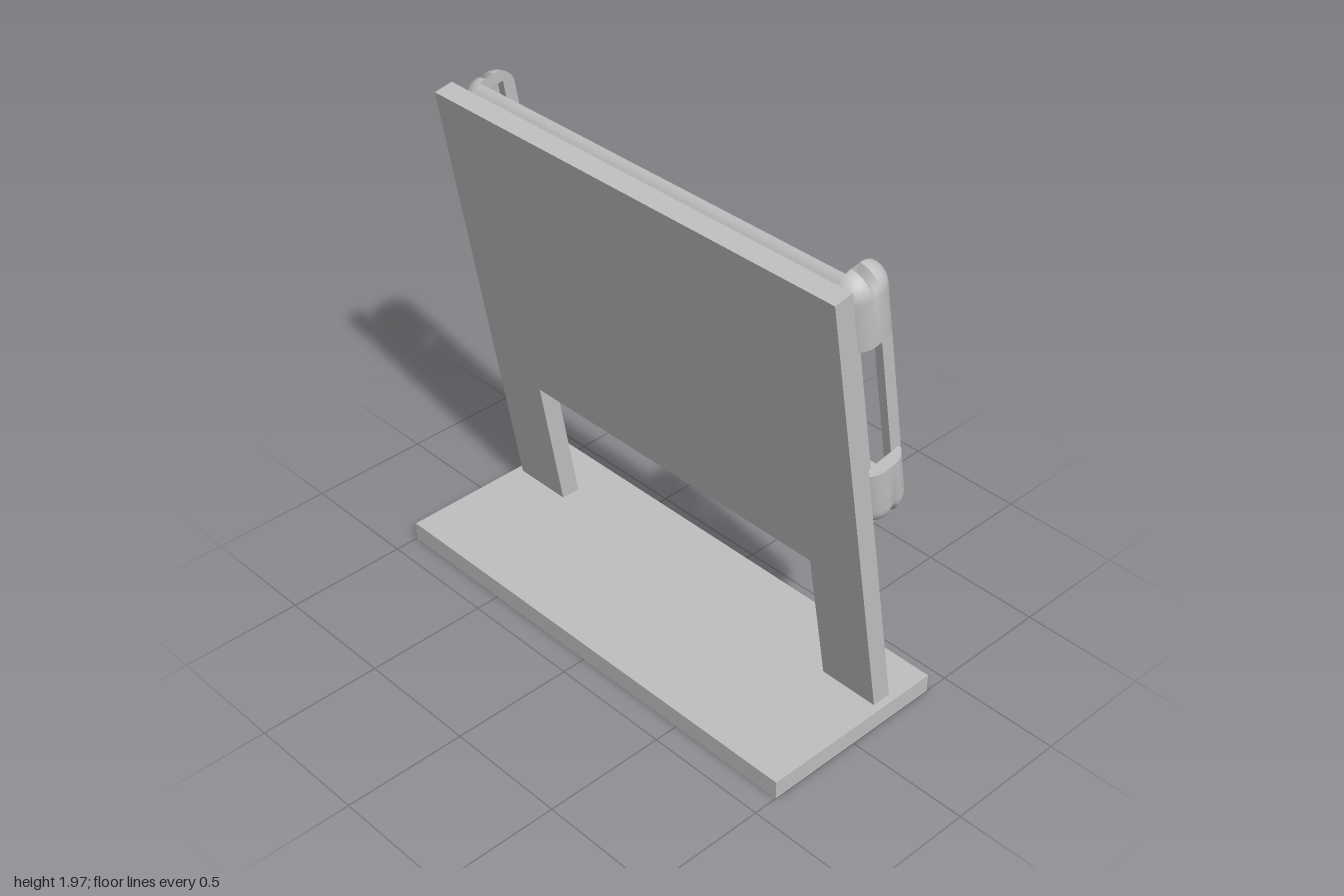
import * as THREE from 'three';
import { toCreasedNormals } from 'three/addons/utils/BufferGeometryUtils.js';

const grey = new THREE.MeshStandardMaterial({ color: 0xc0c0c0 });
grey.name = 'grey';

const R = 0.085;                 // edge radius of the holder
const X = 0.885, LOW = 0.905, HIGH = 1.815; // pivots of its rounded corners

function add(parent, geometry, name) {
  const mesh = new THREE.Mesh(geometry, grey);
  mesh.name = name;
  parent.add(mesh);
  return mesh;
}

// Box given by its limits; w is the distance behind the board
function block(parent, name, x0, x1, y0, y1, w0, w1) {
  const mesh = add(parent, new THREE.BoxGeometry(x1 - x0, y1 - y0, w1 - w0), name);
  mesh.position.set((x0 + x1) / 2, (y0 + y1) / 2, -(w0 + w1) / 2);
}

// C-shaped rim section as (outward, w), with an optional groove in the outer wall
function section(groove) {
  const pts = [], n = 10;
  for (let i = 0; i <= n; i++) {
    const a = (i / n) * Math.PI / 2;
    pts.push(new THREE.Vector2(R * Math.sin(a), R - R * Math.cos(a)));
  }
  pts.push(new THREE.Vector2(R - groove, 0.105));
  for (let i = 0; i <= n; i++) {
    const a = (i / n) * Math.PI / 2;
    pts.push(new THREE.Vector2(R * Math.cos(a), 0.125 + R * Math.sin(a)));
  }
  [[0, 0.16], [0.035, 0.16], [0.035, 0.06], [0, 0.06]].forEach(p => pts.push(new THREE.Vector2(...p)));
  return pts;
}

// Frames turning round a corner pivot
function corner(x, y, from, to, groove) {
  const frames = [];
  for (let i = 0; i <= 12; i++) {
    const a = from + (to - from) * i / 12;
    frames.push({ x, y, a, groove: groove(a * Math.PI / 180) });
  }
  return frames;
}

// Sweep the rim section through frames, with closed ends
function sweep(frames) {
  const pos = [], index = [], n = section(0).length;
  for (const f of frames) {
    const a = f.a * Math.PI / 180;
    for (const p of section(f.groove || 0)) {
      pos.push(f.x + p.x * Math.cos(a), f.y + p.x * Math.sin(a), -p.y);
    }
  }
  for (let k = 0; k < frames.length - 1; k++) {
    for (let i = 0; i < n; i++) {
      const j = (i + 1) % n, a = k * n + i, b = k * n + j;
      index.push(a, b, b + n, a, b + n, a + n);
    }
  }
  const last = (frames.length - 1) * n;
  for (const [a, b, c] of THREE.ShapeUtils.triangulateShape(section(0), [])) {
    index.push(a, c, b, last + a, last + b, last + c);
  }
  const g = new THREE.BufferGeometry();
  g.setAttribute('position', new THREE.Float32BufferAttribute(pos, 3));
  g.setIndex(index);
  return toCreasedNormals(g, 0.6);
}

// Backing slab with a rounded top front edge, extruded along x
function backing(x0, x1, bottom) {
  const s = new THREE.Shape();
  s.moveTo(0, bottom);
  s.lineTo(0.06, bottom);
  for (let i = 8; i >= 0; i--) {
    const w = 0.06 * i / 8;
    s.lineTo(w, HIGH + Math.sqrt(R * R - (R - w) ** 2));
  }
  const g = new THREE.ExtrudeGeometry(s, { depth: x1 - x0, bevelEnabled: false });
  g.rotateY(Math.PI / 2);        // shape x becomes -z, depth becomes +x
  g.translate(x0, 0, 0);
  return toCreasedNormals(g, 0.5);
}

export function createModel() {
  const model = new THREE.Group();
  model.name = 'displayStand';

  add(model, new THREE.BoxGeometry(2, 0.076, 0.8), 'base').position.y = 0.038;

  // Everything above the base leans forward
  const leaning = new THREE.Group();
  leaning.name = 'leaningAssembly';
  leaning.position.set(0, 0.075, -0.219);
  leaning.rotation.x = THREE.MathUtils.degToRad(10);
  model.add(leaning);

  // Board with two legs
  const board = new THREE.Shape();
  [[-0.97, 0], [-0.72, 0], [-0.72, 0.608], [0.72, 0.608], [0.72, 0], [0.97, 0], [0.97, 1.902], [-0.97, 1.902]]
    .forEach(([x, y], i) => (i ? board.lineTo(x, y) : board.moveTo(x, y)));
  add(leaning, new THREE.ExtrudeGeometry(board, { depth: 0.08, bevelEnabled: false }), 'board');

  // Holder on the back
  const holder = new THREE.Group();
  holder.name = 'holder';
  leaning.add(holder);

  add(holder, backing(-0.5, X, 0.87), 'backing');
  add(holder, backing(-X, -0.5, 1.1), 'backingAboveNotch');

  // Grooves fade in over the top corners and appear midway round the bottom ones
  const topGroove = a => 0.035 * Math.sin(a);
  const lowGroove = a => 0.02 * Math.abs(Math.sin(2 * a));
  add(holder, sweep([
    { x: -0.13, y: LOW, a: -90 },
    ...corner(X, LOW, -90, 0, lowGroove),
    { x: X, y: 1.075, a: 0 }]), 'bottomRail');
  add(holder, sweep([
    { x: X, y: 1.625, a: 0 },
    ...corner(X, HIGH, 0, 90, topGroove)]), 'leftTopGrip');
  add(holder, sweep([
    ...corner(-X, HIGH, 90, 180, topGroove),
    { x: -X, y: 1.425, a: 180 }]), 'rightTopGrip');
  add(holder, sweep([
    { x: -X, y: 1.32, a: 180 },
    ...corner(-X, LOW, 180, 270, lowGroove)]), 'rightBottomGrip');

  // Thin lips and backing edges across the openings
  for (const [x0, x1, y0, y1] of [[X, 0.92, 1.075, 1.625], [-0.92, -X, 1.32, 1.425]]) {
    block(holder, 'sideLip', x0, x1, y0, y1, 0.16, 0.21);
    block(holder, 'backingEdge', x0, x1, y0, y1, 0, 0.06);
  }
  block(holder, 'bottomLip', -X, -0.13, 0.87, LOW, 0.16, 0.21);

  return model;
}
